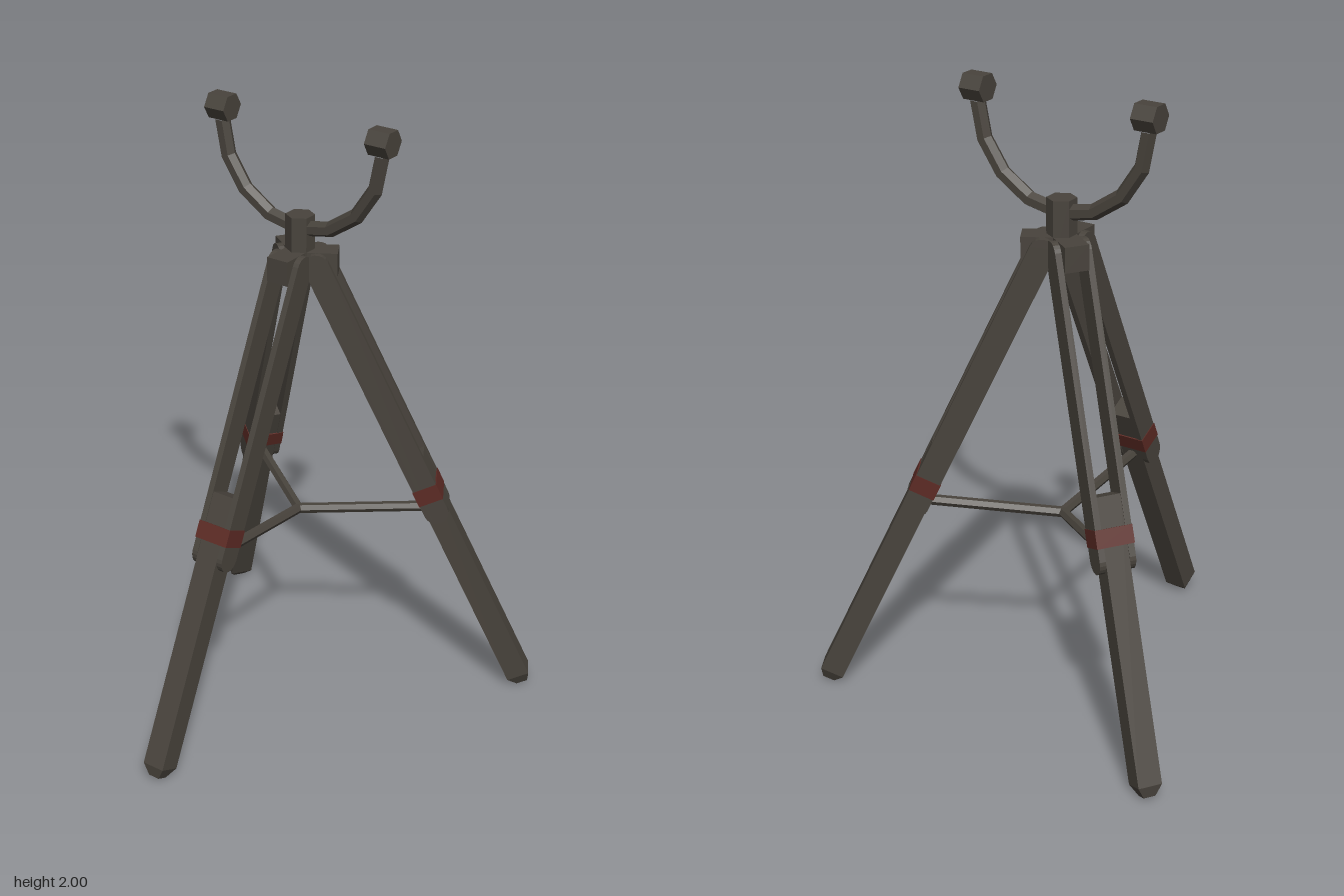
import * as THREE from 'three';

const AXIS_X = -0.06, AXIS_Z = -0.183;
const HALF = 0.038;      // half width of the timber
const RAIL = 0.02;       // rail thickness
const PIVOT_R = 0.055, PIVOT_Y = 1.52;

export function createModel() {
  const darkMetal = new THREE.MeshStandardMaterial({ color: 0x48433c, flatShading: true });
  darkMetal.name = 'dark metal';
  const redBand = new THREE.MeshStandardMaterial({ color: 0x5c2a24, flatShading: true });
  redBand.name = 'dull red';

  const model = new THREE.Group();
  model.name = 'tripodStand';
  const stand = new THREE.Group();
  stand.name = 'stand';
  stand.position.set(AXIS_X, 0, AXIS_Z);
  model.add(stand);

  function add(parent, name, geometry, x = 0, y = 0, z = 0, material = darkMetal) {
    const mesh = new THREE.Mesh(geometry, material);
    mesh.name = name;
    mesh.position.set(x, y, z);
    parent.add(mesh);
    return mesh;
  }

  // Round-ended bar hanging down from its pivot
  function railGeometry(length) {
    const r = HALF + 0.002;
    const shape = new THREE.Shape();
    shape.absarc(0, 0, r, 0, Math.PI, false);
    shape.absarc(0, -length, r, Math.PI, Math.PI * 2, false);
    shape.closePath();
    const g = new THREE.ExtrudeGeometry(shape, { depth: RAIL, bevelEnabled: false, curveSegments: 5 });
    g.translate(0, 0, -RAIL / 2);
    return g.rotateY(Math.PI / 2);
  }

  function addLeg(name, yawDegrees, slope) {
    const arm = new THREE.Group();
    arm.name = name;
    arm.rotation.y = THREE.MathUtils.degToRad(yawDegrees);
    stand.add(arm);
    add(arm, 'hingeBlock', new THREE.BoxGeometry(HALF * 2, 0.08, 0.12), 0, 1.52, 0.06);

    // Everything below is laid out along the tilted leg
    const tilt = Math.atan(slope);
    const along = (y) => (y - PIVOT_Y) / Math.cos(tilt);
    const leg = new THREE.Group();
    leg.name = 'tiltedLeg';
    leg.position.set(0, PIVOT_Y, PIVOT_R);
    leg.rotation.x = -tilt;
    arm.add(leg);

    for (const side of [-1, 1]) {
      add(leg, 'sideRail', railGeometry(-along(0.675)), side * (HALF + RAIL / 2), 0, 0);
    }
    const top = along(0.852), bottom = along(0.043);
    add(leg, 'lowerLeg', new THREE.BoxGeometry(HALF * 2, top - bottom, HALF * 2), 0, (top + bottom) / 2, 0);
    const foot = new THREE.CylinderGeometry(HALF * Math.SQRT2, 0.019 * Math.SQRT2, 0.036, 4);
    foot.rotateY(Math.PI / 4);
    add(leg, 'foot', foot, 0, bottom - 0.018, 0);
    add(leg, 'legBand', new THREE.BoxGeometry((HALF + RAIL) * 2 + 0.004, 0.056, HALF * 2 + 0.008),
      0, along(0.738), 0, redBand);

    // Spreader rod from the centre to the leg
    const path = new THREE.LineCurve3(
      new THREE.Vector3(0, 0.635, -0.008),
      new THREE.Vector3(0, 0.672, PIVOT_R + slope * (PIVOT_Y - 0.672)));
    add(arm, 'spreader', new THREE.TubeGeometry(path, 1, 0.017, 6, false));
  }

  addLeg('frontLeg', 0, 0.473);
  addLeg('leftLeg', 120, 0.473);
  addLeg('rightLeg', -124.8, 0.408);

  // Centre post and U-shaped cradle
  add(stand, 'centrePost', new THREE.CylinderGeometry(0.046, 0.046, 0.19, 6), 0, 1.577, 0);
  const cradle = new THREE.TorusGeometry(0.295, 0.025, 6, 8, Math.PI);
  cradle.rotateZ(Math.PI);
  add(stand, 'cradle', cradle, 0, 1.92, 0);
  for (const side of [-1, 1]) {
    const tip = new THREE.CylinderGeometry(0.045, 0.045, 0.074, 6);
    tip.rotateZ(Math.PI / 2);
    add(stand, 'cradleTip', tip, side * 0.295, 1.961, 0);
  }

  return model;
}
